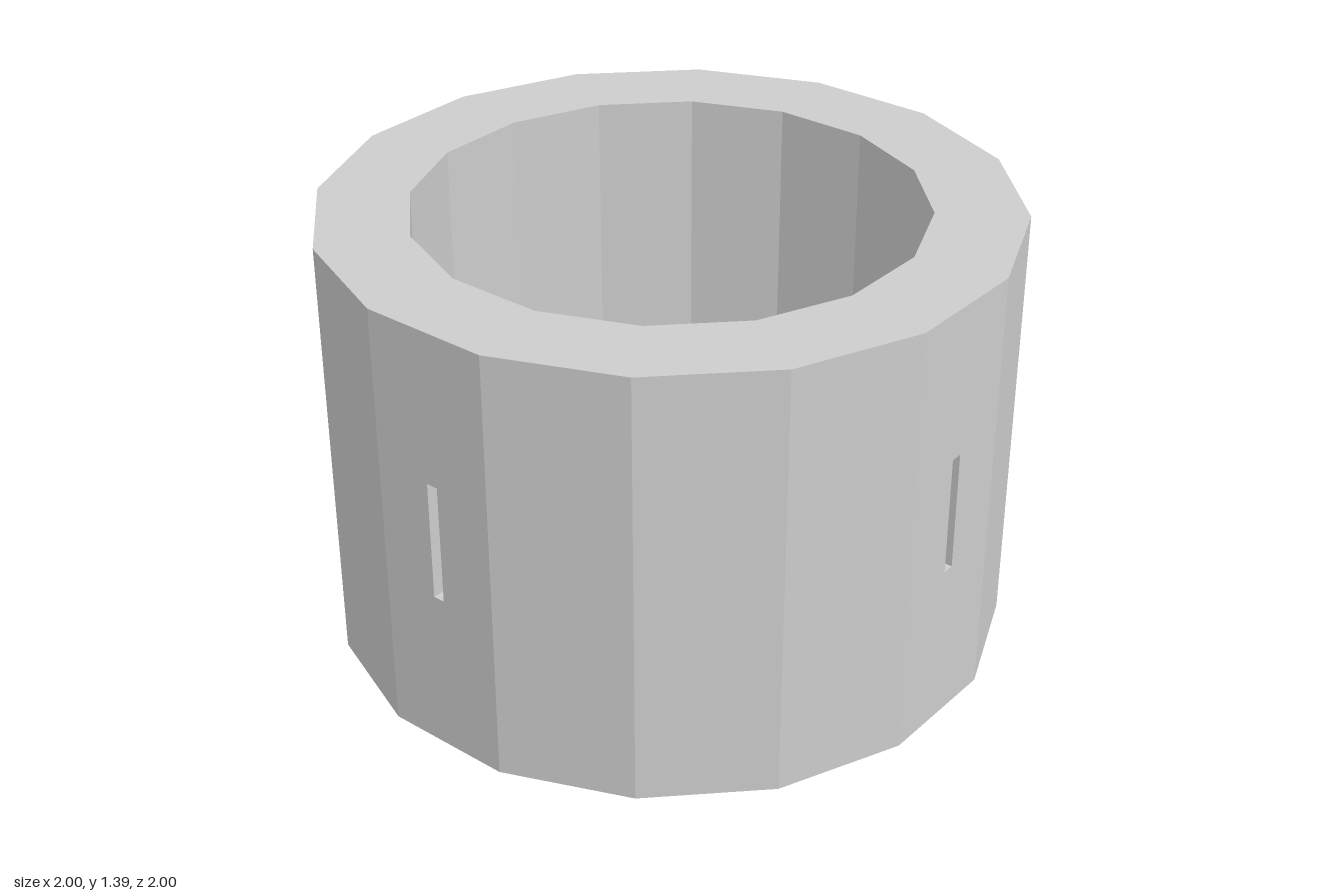
import * as THREE from 'three';

const SIDES = 16;
const STEP = (Math.PI * 2) / SIDES;
const OUTER = 1;       // centre to flat of the outer wall
const INNER = 0.735;   // centre to flat of the cup
const BOTTOM = 0.06, TOP = 1.39;
const SLOT = { width: 0.036, bottom: 0.56, top: 0.925, depth: 0.075 };

export function createModel() {
  const group = new THREE.Group();
  const grey = new THREE.MeshStandardMaterial({ color: 0xcccccc, flatShading: true, side: THREE.DoubleSide });
  grey.name = 'light grey';

  const add = (name, geometry, parent = group) => {
    const mesh = new THREE.Mesh(geometry, grey);
    mesh.name = name;
    parent.add(mesh);
    return mesh;
  };
  const corner = (flat) => flat / Math.cos(STEP / 2);

  const rect = (path, halfWidth, y0, y1) => {
    path.moveTo(-halfWidth, y0);
    path.lineTo(halfWidth, y0);
    path.lineTo(halfWidth, y1);
    path.lineTo(-halfWidth, y1);
    path.closePath();
    return path;
  };

  // Outer wall: flat panels, the four diagonal ones with a recessed slot
  const wall = new THREE.Group();
  wall.name = 'outerWall';
  group.add(wall);
  const halfPanel = OUTER * Math.tan(STEP / 2);
  for (let i = 0; i < SIDES; i++) {
    const shape = rect(new THREE.Shape(), halfPanel, BOTTOM, TOP);
    const slotted = i % 4 === 2;
    if (slotted) shape.holes.push(rect(new THREE.Path(), SLOT.width / 2, SLOT.bottom, SLOT.top));
    const panel = new THREE.ShapeGeometry(shape).translate(0, 0, OUTER).rotateY(i * STEP);
    add('wallPanel', panel, wall);

    if (slotted) {
      // Pocket: a box with its outward face left out
      const pocket = new THREE.BoxGeometry(SLOT.width, SLOT.top - SLOT.bottom, SLOT.depth);
      const index = Array.from(pocket.index.array);
      index.splice(24, 6);
      pocket.setIndex(index);
      pocket.clearGroups();
      pocket.translate(0, (SLOT.top + SLOT.bottom) / 2, OUTER - SLOT.depth / 2).rotateY(i * STEP);
      add('slotPocket', pocket, wall);
    }
  }

  // Flat rim joining the outer wall to the cup
  add('topRim', new THREE.RingGeometry(corner(INNER), corner(OUTER), SIDES, 1, STEP / 2)
    .rotateX(-Math.PI / 2).translate(0, TOP, 0));

  // Inner cup, reaching slightly below the outer wall
  add('cupWall', new THREE.CylinderGeometry(corner(INNER), corner(INNER), TOP, SIDES, 1, true, STEP / 2)
    .translate(0, TOP / 2, 0));
  add('cupFloor', new THREE.CircleGeometry(corner(INNER), SIDES, STEP / 2).rotateX(Math.PI / 2));

  return group;
}
